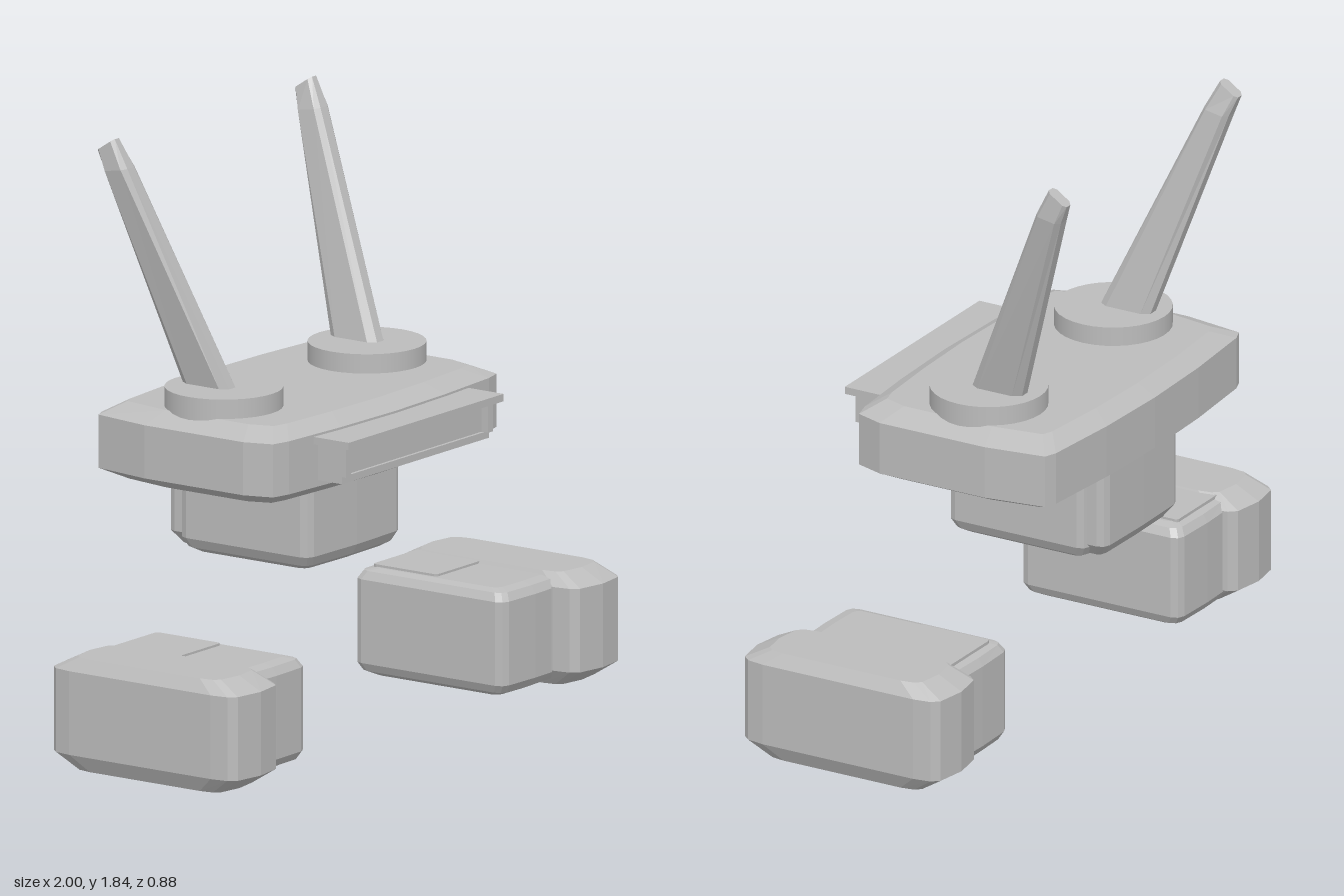
import * as THREE from 'three';

const grey = new THREE.MeshStandardMaterial({ color: 0xbcbcbc });
grey.name = 'plain grey';

// Skin a stack of equal-length rings (bottom to top, anticlockwise from above) with flat facets and caps.
function loft(rings, side = 1) {
  const rs = rings.map(r => {
    const v = r.map(p => new THREE.Vector3(p[0] * side, p[1], p[2]));
    return side < 0 ? v.reverse() : v;
  });
  const pos = [];
  const tri = (...vs) => vs.forEach(v => pos.push(v.x, v.y, v.z));
  const n = rs[0].length;
  const centre = r => r.reduce((s, v) => s.add(v), new THREE.Vector3()).divideScalar(n);
  const bottom = rs[0], top = rs[rs.length - 1];
  const cb = centre(bottom), ct = centre(top);
  for (let i = 0; i < n; i++) {
    const j = (i + 1) % n;
    for (let k = 0; k + 1 < rs.length; k++) {
      const a = rs[k], b = rs[k + 1];
      tri(a[i], a[j], b[j]);
      tri(a[i], b[j], b[i]);
    }
    tri(cb, bottom[j], bottom[i]);
    tri(ct, top[i], top[j]);
  }
  const g = new THREE.BufferGeometry();
  g.setAttribute('position', new THREE.Float32BufferAttribute(pos, 3));
  g.computeVertexNormals();
  return g;
}

// Complete a +x half outline (front centre to back centre) by mirroring it.
const mirrored = half => [...half, ...half.slice(1, -1).reverse().map(([x, z]) => [-x, z])];

// Plan of a block with cut corners and slightly bowed ends.
const plan = (hx, hz, cx, cz, bow) => mirrored([
  [0, hz], [hx - cx, hz - bow], [hx - cx * 0.3, hz - bow - cz * 0.3], [hx, hz - bow - cz],
  [hx, -hz + bow + cz], [hx - cx * 0.3, -hz + bow + cz * 0.3], [hx - cx, -hz + bow], [0, -hz]]);

// Stack a plan at levels [y, inset x, inset z], centred on (x, z).
function stack(outline, levels, x = 0, z = 0, side = 1) {
  const hx = Math.max(...outline.map(p => p[0]));
  const hz = Math.max(...outline.map(p => Math.abs(p[1])));
  return loft(levels.map(([y, ix, iz]) =>
    outline.map(p => [x + p[0] * (1 - ix / hx), y, z + p[1] * (1 - iz / hz)])), side);
}

export function createModel() {
  const model = new THREE.Group();
  model.name = 'robot';
  const add = (name, geometry, parent = model) => {
    const mesh = new THREE.Mesh(geometry, grey);
    mesh.name = name;
    parent.add(mesh);
    return mesh;
  };
  const box = (name, x0, x1, y0, y1, z0, z1, parent) =>
    add(name, new THREE.BoxGeometry(x1 - x0, y1 - y0, z1 - z0), parent)
      .position.set((x0 + x1) / 2, (y0 + y1) / 2, (z0 + z1) / 2);

  // Wide head with bowed front and back
  const headPlan = mirrored([
    [0, 0.37], [0.27, 0.362], [0.51, 0.345], [0.57, 0.33], [0.6, 0.24],
    [0.6, -0.13], [0.57, -0.325], [0.53, -0.34], [0.27, -0.362], [0, -0.37]]);
  add('head', stack(headPlan,
    [[0.79, 0.08, 0.07], [0.83, 0, 0], [0.995, 0, 0], [1.03, 0.08, 0.06]], 0, -0.07));

  // Lower body with a rear plate
  add('body', stack(plan(0.24, 0.25, 0.03, 0.03, 0.006),
    [[0.515, 0.04, 0.04], [0.53, 0.015, 0.015], [0.56, 0, 0], [0.82, 0, 0]], 0, -0.095));
  add('rearPlate', stack(plan(0.22, 0.09, 0.03, 0.03, 0.004),
    [[0.53, 0.03, 0.03], [0.57, 0, 0], [0.82, 0, 0]], 0, -0.31));

  // Framed visor under a projecting ledge
  const visor = new THREE.Group();
  visor.name = 'visor';
  model.add(visor);
  box('ledge', -0.395, 0.395, 0.965, 0.988, 0.15, 0.415, visor);
  box('lowerBar', -0.375, 0.375, 0.85, 0.872, 0.15, 0.375, visor);
  box('panel', -0.355, 0.355, 0.872, 0.965, 0.15, 0.365, visor);
  for (const s of [-1, 1]) {
    box('post', s * 0.3625 - 0.0125, s * 0.3625 + 0.0125, 0.872, 0.965, 0.15, 0.39, visor);
  }

  // Antenna cross-section: bevelled rectangle, sloping from front height to back height
  const section = (x0, x1, zf, zb, yf, yb) => {
    const w = x1 - x0, d = zf - zb;
    return [[0.25, 0], [0.75, 0], [1, 0.15], [1, 0.85], [0.75, 1], [0.25, 1], [0, 0.85], [0, 0.15]]
      .map(([u, v]) => [x0 + u * w, yf + v * (yb - yf), zf - v * d]);
  };

  for (const s of [-1, 1]) {
    const sideName = s > 0 ? 'left' : 'right';

    // Round mount and leaning antenna
    add(sideName + 'AntennaBase', new THREE.CylinderGeometry(0.18, 0.18, 0.09, 32))
      .position.set(s * 0.365, 1.045, -0.075);
    add(sideName + 'Antenna', loft([
      section(0.343, 0.408, -0.03, -0.205, 1.08, 1.08),
      section(0.457, 0.528, -0.33, -0.415, 1.755, 1.74),
      section(0.482, 0.524, -0.375, -0.438, 1.842, 1.8)], s));

    // Separate foot: long outer shell and shorter two-part inner block
    const foot = new THREE.Group();
    foot.name = sideName + 'Foot';
    model.add(foot);
    add('outerShell', stack(plan(0.127, 0.36, 0.03, 0.08, 0.015),
      [[0, 0.025, 0.08], [0.05, 0, 0], [0.31, 0, 0], [0.35, 0.025, 0.08]], 0.873, 0.077, s), foot);
    add('innerBlock', stack(plan(0.16, 0.285, 0.03, 0.03, 0.004),
      [[0.005, 0.04, 0.05], [0.02, 0.012, 0.015], [0.045, 0, 0], [0.305, 0, 0],
        [0.33, 0.015, 0.015], [0.338, 0.04, 0.05]], 0.66, 0.055, s), foot);
    add('innerRaisedPanel', stack(plan(0.12, 0.12, 0.01, 0.01, 0),
      [[0.3, 0, 0], [0.345, 0, 0]], 0.67, -0.07, s), foot);
  }
  return model;
}
